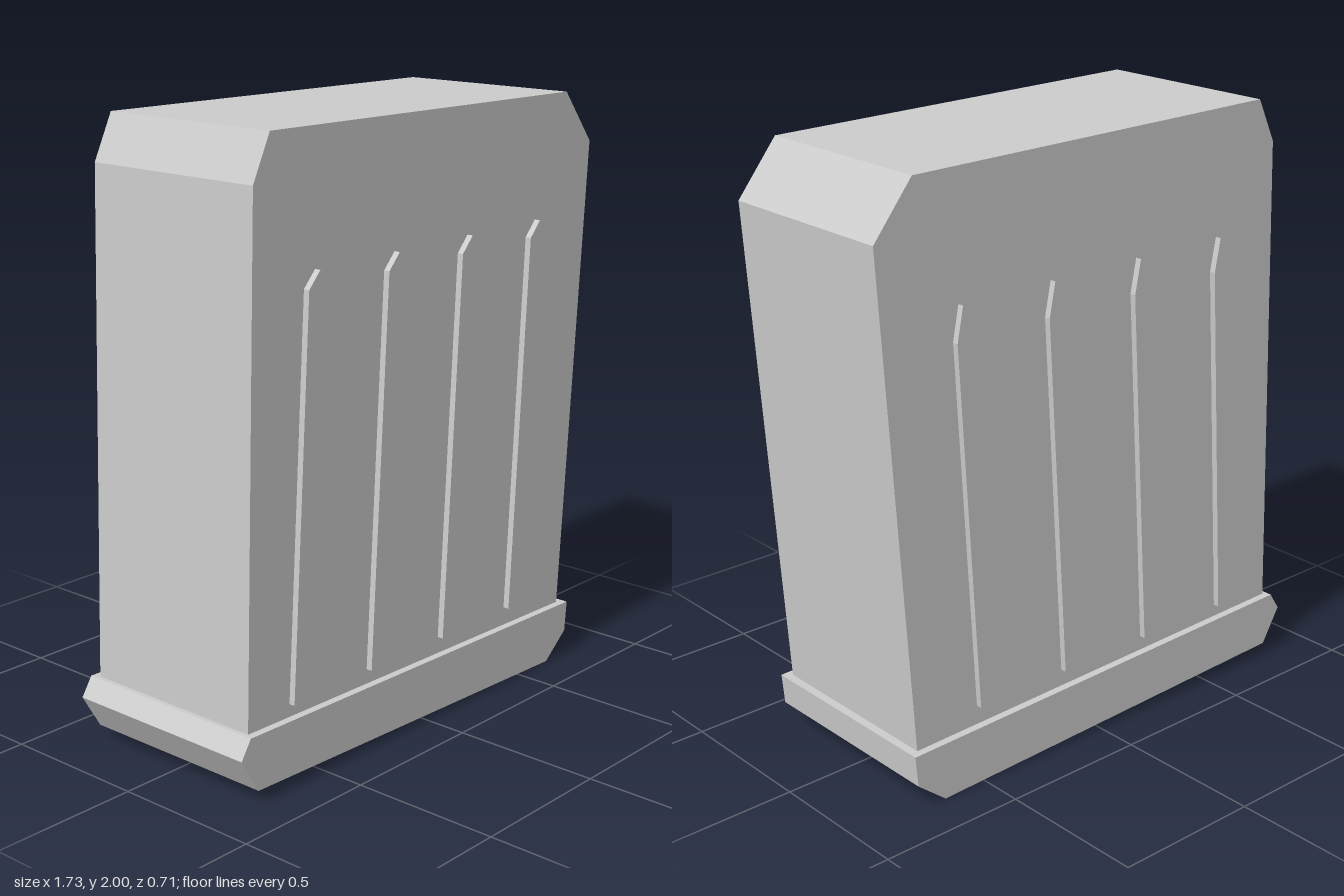
import * as THREE from 'three';

const grey = new THREE.MeshStandardMaterial({ color: 0xcccccc });
grey.name = 'stone grey';

// Flat outline extruded from z0 to z1
function slab(name, points, z0, z1) {
  const shape = new THREE.Shape(points.map(([x, y]) => new THREE.Vector2(x, y)));
  const geometry = new THREE.ExtrudeGeometry(shape, { depth: z1 - z0, bevelEnabled: false });
  geometry.translate(0, 0, z0);
  const mesh = new THREE.Mesh(geometry, grey);
  mesh.name = name;
  return mesh;
}

export function createModel() {
  const model = new THREE.Group();
  model.name = 'leaningSlab';

  // Leaning main block with chipped top corners, sunk slightly into the base
  model.add(slab('body', [
    [-0.811, 0.17], [0.744, 0.14], [0.747, 0.19], [0.86, 1.81],
    [0.72, 1.985], [-0.69, 2.0], [-0.76, 1.855], [-0.81, 0.22],
  ], -0.327, 0.327));

  // Wider uneven base
  model.add(slab('base', [
    [-0.795, 0.042], [0.66, 0], [0.765, 0.085], [0.775, 0.19],
    [-0.825, 0.222], [-0.865, 0.16],
  ], -0.353, 0.353));

  // Four pointed ribs on the front and on the back
  const rib = [[-0.63, 0.26], [-0.56, 0.26], [-0.485, 1.47], [-0.507, 1.582], [-0.555, 1.53]];
  for (let i = 0; i < 4; i++) {
    const outline = rib.map(([x, y]) => [x + i * 0.356, y]);
    model.add(slab('frontRib' + (i + 1), outline, 0.31, 0.348));
    model.add(slab('backRib' + (i + 1), outline, -0.348, -0.31));
  }
  return model;
}
